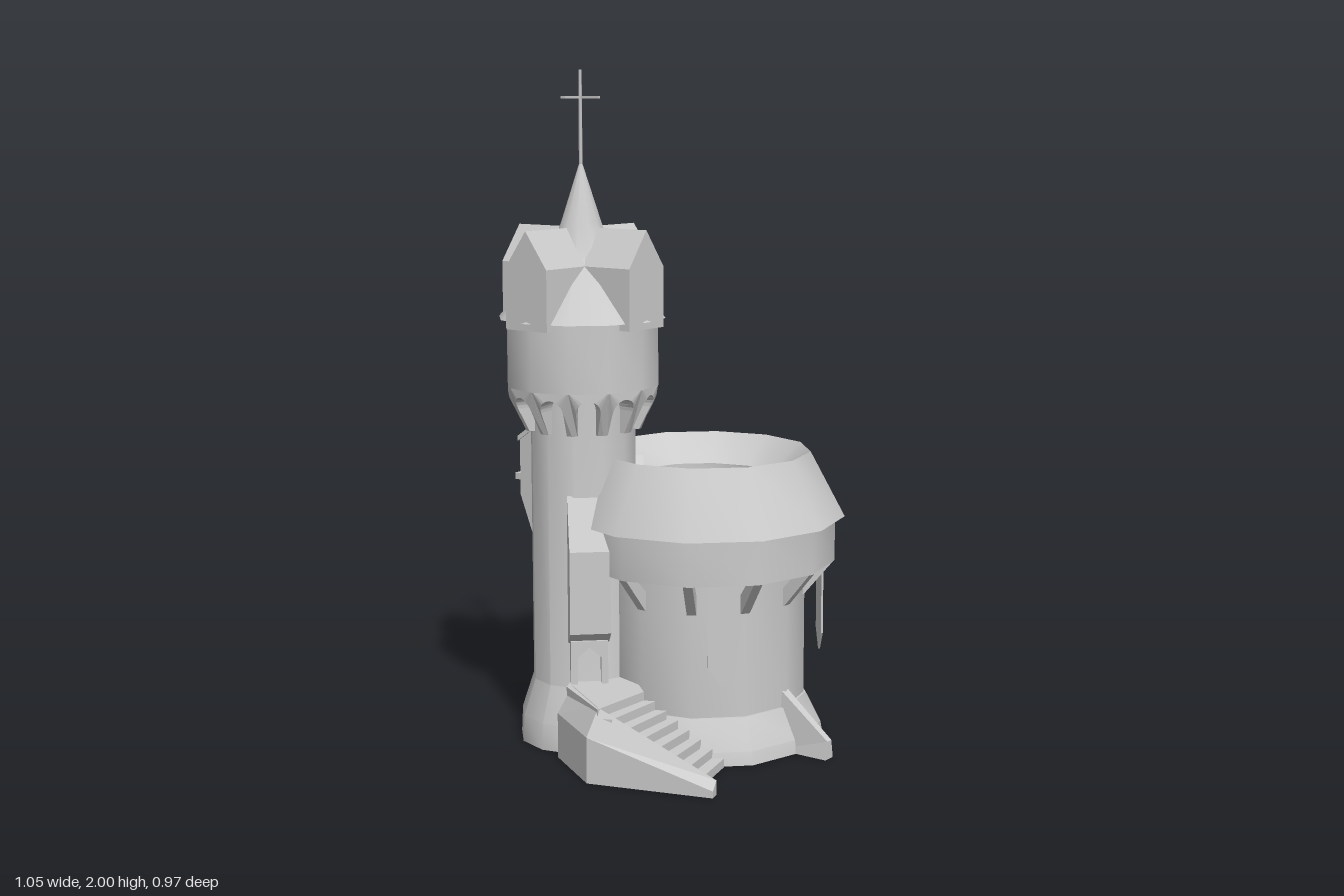
import * as THREE from 'three';
import { toCreasedNormals } from 'three/addons/utils/BufferGeometryUtils.js';

const mat = new THREE.MeshStandardMaterial({ color: 0xcccccc, side: THREE.DoubleSide });
const SIDES = 12;

function add(parent, name, geo) {
  const mesh = new THREE.Mesh(geo, mat);
  mesh.name = name;
  parent.add(mesh);
  return mesh;
}

const points = list => list.map(p => new THREE.Vector2(p[0], p[1]));

// Twelve-sided turned part, smooth around and sharp along the profile corners
function turned(parent, name, profile) {
  return add(parent, name, toCreasedNormals(new THREE.LatheGeometry(points(profile), SIDES), 0.56));
}

function extrude(shape, depth) {
  return new THREE.ExtrudeGeometry(shape, { depth, bevelEnabled: false, curveSegments: 6 });
}

// Slab standing out from an axis: profile in (distance, height), facing direction (dx, dz)
function radial(parent, name, profile, width, dx, dz, offset = 0) {
  const geo = extrude(new THREE.Shape(points(profile)), width);
  geo.translate(0, 0, offset - width / 2);
  const mesh = add(parent, name, geo);
  mesh.rotation.y = Math.atan2(-dz, dx);
  return mesh;
}

// Horizontal slab from (x, z) corners with its top at a given height
function slab(parent, name, corners, top, thickness) {
  const geo = extrude(new THREE.Shape(points(corners.map(([x, z]) => [x, -z]))), thickness);
  geo.rotateX(-Math.PI / 2).translate(0, top - thickness, 0);
  return add(parent, name, geo);
}

function buildKeep() {
  const keep = new THREE.Group();
  keep.name = 'keep';
  turned(keep, 'keepWall', [[0.365, 0], [0.358, 0.04], [0.312, 0.13], [0.305, 0.13], [0.305, 0.545]]);
  turned(keep, 'gallery', [[0.3, 0.545], [0.395, 0.545], [0.395, 0.68], [0.424, 0.68], [0.32, 0.875],
    [0.223, 0.79], [0.223, 0.77], [0.3, 0.77], [0.3, 0.69], [0, 0.69]]);
  for (let i = 0; i < SIDES; i++) {
    const a = i * Math.PI / 6, dx = Math.cos(a), dz = Math.sin(a);
    radial(keep, 'galleryStrut', [[0.295, 0.44], [0.305, 0.44], [0.392, 0.545], [0.35, 0.545], [0.295, 0.49]], 0.028, dx, dz);
    radial(keep, 'galleryPost', [[0.228, 0.685], [0.255, 0.685], [0.255, 0.785], [0.228, 0.785]], 0.03, dx, dz);
  }
  // Buttresses narrow toward their tips and crests
  for (const [dx, dz] of [[0, 1], [1, 0], [0, -1]]) {
    const b = radial(keep, 'buttress', [[0.29, 0], [0.46, 0], [0.46, 0.055], [0.3, 0.18], [0.29, 0.18]], 0.056, dx, dz);
    const p = b.geometry.attributes.position;
    for (let i = 0; i < p.count; i++) {
      const tip = p.getX(i) > 0.4 ? 0.7 : 1;
      p.setZ(i, p.getZ(i) * tip * (p.getY(i) > 0.04 ? 0.55 : 1));
    }
    b.geometry.computeVertexNormals();
  }
  // Pointed hangings below the gallery
  const cloth = new THREE.Shape(points([[-0.04, 0.55], [-0.04, 0.3], [0, 0.24], [0.04, 0.3], [0.04, 0.55]]));
  for (const a of [1, 3, -1]) {
    const banner = add(keep, 'banner', extrude(cloth, 0.006).translate(0, 0, 0.355));
    banner.rotation.y = a * Math.PI / 4;
  }
  banner3Fix(keep);
  keep.position.set(0.066, 0, 0.02);
  return keep;
}

// The hanging that would sit inside the tower is left out
function banner3Fix(keep) {
  for (const b of keep.children.filter(c => c.name === 'banner')) {
    const a = b.rotation.y;
    if (Math.sin(a) < 0 && Math.cos(a) < 0) keep.remove(b);
  }
}

function buildTower() {
  const tower = new THREE.Group();
  tower.name = 'tower';
  turned(tower, 'towerShaft', [[0.198, 0], [0.194, 0.08], [0.158, 0.19], [0.158, 1.09]]);
  turned(tower, 'drum', [[0.15, 1.08], [0.2275, 1.08], [0.2275, 1.285]]);
  turned(tower, 'spire', [[0.22, 1.28], [0.25, 1.28], [0.095, 1.46], [0.06, 1.56], [0, 1.745]]);

  // Arched corbels leaning in toward the shaft
  const w = 0.0588, arch = new THREE.Shape();
  arch.moveTo(-w, 0.95);
  arch.lineTo(-0.038, 0.95);
  arch.lineTo(-0.038, 1.02);
  arch.absarc(0, 1.02, 0.038, Math.PI, 0, true);
  arch.lineTo(0.038, 0.95);
  arch.lineTo(w, 0.95);
  arch.lineTo(w, 1.085);
  arch.lineTo(-w, 1.085);
  const corbel = extrude(arch, 0.08).translate(0, 0, 0.14);
  const p = corbel.attributes.position;
  for (let i = 0; i < p.count; i++) {
    const t = Math.min((p.getY(i) - 0.95) / 0.1, 1);
    const z = p.getZ(i) > 0.2 ? 0.17 + 0.0497 * t : 0.14;
    p.setXYZ(i, p.getX(i) * z / 0.2197, p.getY(i), z);
  }
  corbel.computeVertexNormals();
  for (let i = 0; i < SIDES; i++) add(tower, 'corbelArch', corbel).rotation.y = (i + 0.5) * Math.PI / 6;

  // Four gabled dormers
  const gable = new THREE.Shape(points([[-0.078, 1.26], [0.078, 1.26], [0.078, 1.438], [0, 1.545], [-0.078, 1.438]]));
  const dormer = extrude(gable, 0.2447);
  for (let i = 0; i < 4; i++) add(tower, 'dormer', dormer).rotation.y = i * Math.PI / 2;

  // Finial
  add(tower, 'finialPole', new THREE.CylinderGeometry(0.005, 0.006, 0.29, 6).translate(0, 1.855, 0));
  add(tower, 'finialBar', new THREE.BoxGeometry(0.144, 0.007, 0.007).translate(0, 1.92, 0));
  add(tower, 'finialBar', new THREE.BoxGeometry(0.007, 0.007, 0.144).translate(0, 1.92, 0));

  // Bay above the entrance, and the entrance itself
  radial(tower, 'entranceBay', [[0.1, 0.33], [0.155, 0.33], [0.23, 0.375], [0.23, 0.62], [0.15, 0.77], [0.1, 0.77]], 0.12, -1, 1);
  const frame = new THREE.Shape(points([[-0.055, 0.19], [0.055, 0.19], [0.055, 0.34], [-0.055, 0.34]]));
  frame.holes.push(new THREE.Path(points([[-0.035, 0.195], [-0.035, 0.29], [0, 0.32], [0.035, 0.29], [0.035, 0.195]])));
  add(tower, 'doorFrame', extrude(frame, 0.06).translate(0, 0, 0.12)).rotation.y = -Math.PI / 4;

  // Rear bay on two cheeks
  radial(tower, 'rearBay', [[0.1, 0.73], [0.2, 0.73], [0.2, 0.9], [0.11, 0.96], [0.1, 0.96]], 0.12, 0, -1);
  radial(tower, 'rearBayRoof', [[0.11, 0.96], [0.205, 0.895], [0.205, 0.91], [0.11, 0.975]], 0.13, 0, -1);
  radial(tower, 'rearBayLedge', [[0.18, 0.775], [0.22, 0.775], [0.22, 0.795], [0.18, 0.795]], 0.12, 0, -1);
  for (const s of [-1, 1]) {
    radial(tower, 'rearBayCheek', [[0.1, 0.62], [0.155, 0.62], [0.2, 0.73], [0.1, 0.73]], 0.03, 0, -1, s * 0.045);
  }

  // Gabled doorway onto the gallery floor
  const porch = new THREE.Shape(points([[-0.045, 0.69], [0.045, 0.69], [0.045, 0.82], [0, 0.86], [-0.045, 0.82]]));
  add(tower, 'galleryDoorway', extrude(porch, 0.09).translate(0, 0, 0.09)).rotation.y = Math.PI / 4;

  tower.position.set(-0.19, 0, -0.2415);
  return tower;
}

function buildStairs() {
  const stairs = new THREE.Group();
  stairs.name = 'stairs';
  const lerp = THREE.MathUtils.lerp, steps = 7, top = 0.21;
  const outer = t => [lerp(-0.385, -0.49, t), lerp(0.335, 0.06, t)];
  const inner = t => [lerp(-0.18, -0.28, t), lerp(0.278, 0.06, t)];
  for (let i = 0; i < steps; i++) {
    const a = i / steps, b = (i + 1) / steps, h = top * (i + 1) / (steps + 1);
    slab(stairs, 'step', [outer(a), inner(a), inner(b), outer(b)], h, Math.min(h, 0.05));
  }
  slab(stairs, 'landing', [[-0.49, 0.06], [-0.28, 0.06], [-0.15, -0.1], [-0.25, -0.22], [-0.38, -0.15]], top, 0.04);

  // Outer wall with a sloped coping: stations of [outer x, z, height, inner x, z, height]
  const stations = [[-0.41, -0.16, 0.135, -0.365, -0.14, 0.212], [-0.527, 0.05, 0.135, -0.48, 0.055, 0.212],
    [-0.405, 0.405, 0.02, -0.375, 0.395, 0.042]];
  const rings = stations.map(([ox, oz, oy, ix, iz, iy]) => [[ox, 0, oz], [ox, oy, oz], [ix, iy, iz], [ix, 0, iz]]);
  const verts = [];
  const quad = (a, b, c, d) => verts.push(...a, ...b, ...c, ...a, ...c, ...d);
  for (let s = 0; s < 2; s++) {
    for (let k = 0; k < 4; k++) {
      const n = (k + 1) % 4;
      quad(rings[s][k], rings[s + 1][k], rings[s + 1][n], rings[s][n]);
    }
  }
  quad(...rings[0]);
  quad(...rings[2].slice().reverse());
  const geo = new THREE.BufferGeometry();
  geo.setAttribute('position', new THREE.Float32BufferAttribute(verts, 3));
  geo.computeVertexNormals();
  add(stairs, 'stairWall', geo);
  return stairs;
}

export function createModel() {
  const model = new THREE.Group();
  model.name = 'castle';
  model.add(buildKeep(), buildTower(), buildStairs());
  return model;
}
